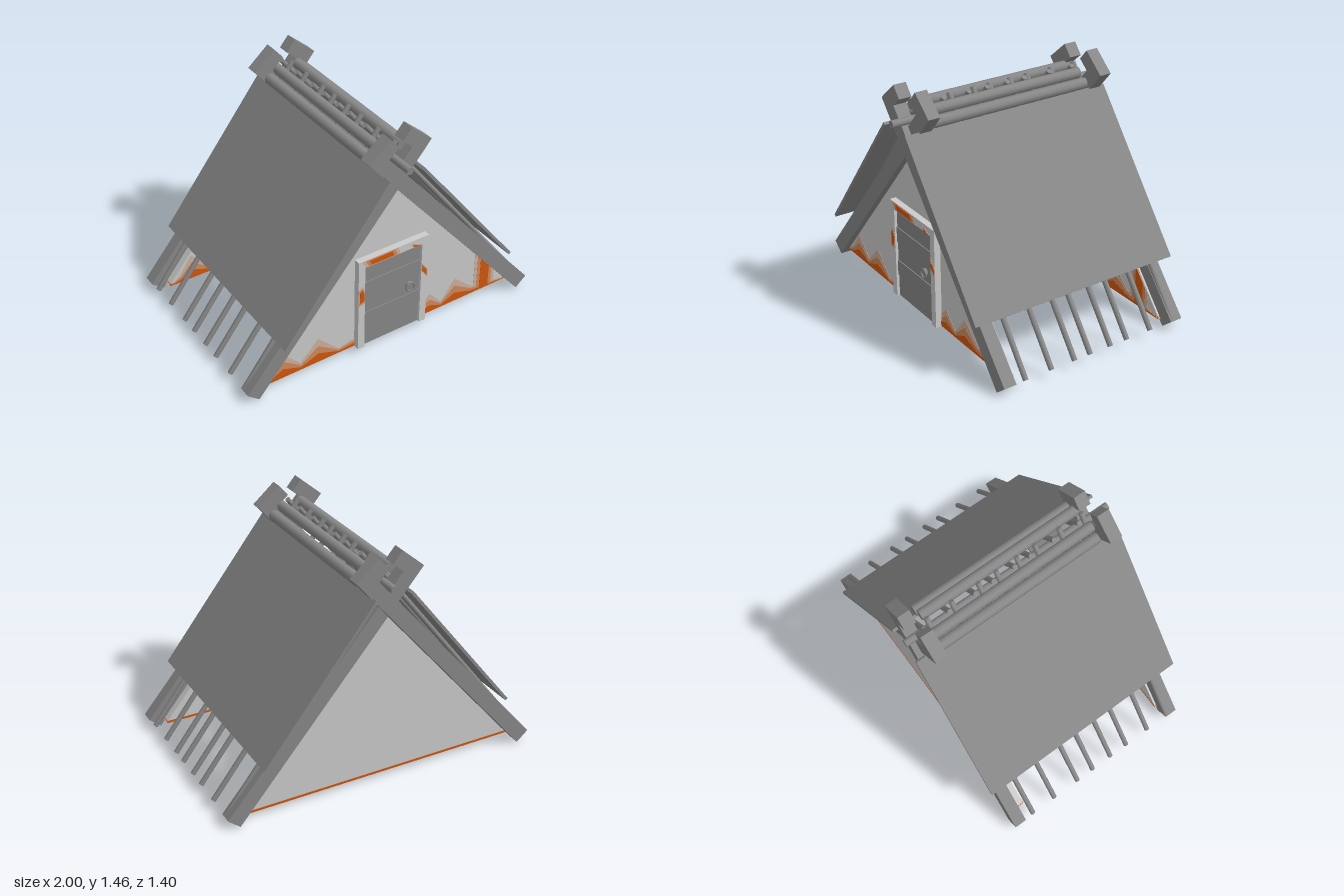
import * as THREE from 'three';

const timber = new THREE.MeshStandardMaterial({ color: 0x888888 });
const plaster = new THREE.MeshStandardMaterial({ color: 0xcccccc });
// rust tones, from faint to strong
const rust = [0xcfb09e, 0xd18a5c, 0xd2570f].map((color) => new THREE.MeshStandardMaterial({ color }));

export function createModel() {
  const model = new THREE.Group();

  const add = (name, geometry, material = timber, parent = model) => {
    const mesh = new THREE.Mesh(geometry, material);
    mesh.name = name;
    parent.add(mesh);
    return mesh;
  };
  const group = (name) => {
    const g = new THREE.Group();
    g.name = name;
    model.add(g);
    return g;
  };
  // box given by its limits
  const box = (name, x0, x1, y0, y1, z0, z1, material, parent) => {
    const m = add(name, new THREE.BoxGeometry(x1 - x0, y1 - y0, z1 - z0), material, parent);
    m.position.set((x0 + x1) / 2, (y0 + y1) / 2, (z0 + z1) / 2);
    return m;
  };
  // flat outline in x, y extruded from z0 to z1
  const slab = (name, points, z0, z1, material, parent) => {
    const shape = new THREE.Shape(points.map(([x, y]) => new THREE.Vector2(x, y)));
    const m = add(name, new THREE.ExtrudeGeometry(shape, { depth: z1 - z0, bevelEnabled: false }), material, parent);
    m.position.z = z0;
    return m;
  };
  // round pole between two points
  const pole = (name, a, b, r, parent) => {
    const from = new THREE.Vector3(...a), to = new THREE.Vector3(...b);
    const dir = to.clone().sub(from);
    const m = add(name, new THREE.CylinderGeometry(r, r, dir.length(), 10), timber, parent);
    m.position.copy(from).add(to).multiplyScalar(0.5);
    m.quaternion.setFromUnitVectors(new THREE.Vector3(0, 1, 0), dir.normalize());
    return m;
  };

  // crossed gable beams: [across, along] outline with a hooked head
  const profile = [[-0.048, -1.48], [0.048, -1.48], [0.048, 0.195], [0.135, 0.195], [0.135, 0.285], [-0.046, 0.285]];
  const beams = group('gableBeams');
  const beam = (name, side, z0, z1) => slab(name,
    profile.map(([n, t]) => [side * (0.76 * n - 0.65 * t), 1.16 + 0.65 * n + 0.76 * t]), z0, z1, timber, beams);
  beam('frontLeftBeam', 1, 0.55, 0.63);
  beam('frontRightBeam', -1, 0.515, 0.592);
  beam('backLeftBeam', 1, -0.635, -0.555);
  beam('backRightBeam', -1, -0.67, -0.592);

  // triangular end walls; rust creeps up their front faces and fades out
  const gable = [[-0.905, 0.045], [0.905, 0.045], [0, 1.12]];
  const rightStain = [[-0.25, 0.1], [-0.36, 0.075], [-0.5, 0.215], [-0.62, 0.09], [-0.74, 0.215], [-0.82, 0.1]];
  const leftStain = [[0.9, 0.05], [0.62, 0.1], [0.49, 0.215], [0.39, 0.08], [0.3, 0.18], [0.24, 0.13]];
  const wall = (name, z0, z1) => {
    slab(name + 'Wall', gable, z0, z1, plaster);
    box(name + 'Sill', -0.9, 0.9, 0.04, 0.055, z0 - 0.001, z1 + 0.001, rust[2]);
    const stains = group(name + 'WallStains');
    rust.forEach((tone, i) => {
      const front = z1 + 0.0015 * (i + 1), rise = 1 - 0.32 * i, w = 0.08 - 0.023 * i;
      const fade = ([x, y]) => [x, 0.045 + (y - 0.045) * rise];
      slab('rightStain', [[-0.89, 0.045], [-0.25, 0.045], ...rightStain.map(fade)], z1 - 0.001, front, tone, stains);
      slab('leftStain', [[0.24, 0.045], ...leftStain.map(fade)], z1 - 0.001, front, tone, stains);
      const edge = (x) => [x, 1.11 - 1.188 * x];
      slab('streak', [[0.72 - w, 0.045], [0.72 + w, 0.045], edge(0.72 + w), edge(0.72 - w)],
        z1 - 0.001, front + 0.0005, tone, stains);
    });
  };
  wall('front', 0.503, 0.548);
  wall('back', -0.59, -0.543);

  // door frame with worn patches
  const frame = group('doorFrame');
  box('rightJamb', -0.25, -0.205, 0.04, 0.68, 0.53, 0.588, plaster, frame);
  box('leftJamb', 0.195, 0.24, 0.04, 0.68, 0.53, 0.588, plaster, frame);
  box('lintel', -0.205, 0.195, 0.63, 0.68, 0.53, 0.588, plaster, frame);
  const patches = [
    [[-0.2, 0.63], [0.04, 0.63], [0.02, 0.68], [-0.23, 0.68]],
    [[0.13, 0.63], [0.195, 0.63], [0.15, 0.645], [0.115, 0.665]],
    [[-0.25, 0.36], [-0.205, 0.37], [-0.205, 0.45], [-0.22, 0.5], [-0.25, 0.48]],
    [[0.195, 0.43], [0.24, 0.37], [0.24, 0.43], [0.195, 0.49]],
  ];
  for (const patch of patches) {
    const cx = patch.reduce((s, p) => s + p[0], 0) / patch.length;
    const cy = patch.reduce((s, p) => s + p[1], 0) / patch.length;
    rust.forEach((tone, i) => {
      const k = 1 - 0.18 * i;
      slab('framePatch', patch.map(([x, y]) => [cx + (x - cx) * k, cy + (y - cy) * k]),
        0.587, 0.5895 + 0.0015 * i, tone, frame);
    });
  }

  // plank door and ring handle
  const door = group('door');
  const seams = [0.04, 0.185, 0.285, 0.41, 0.51, 0.628];
  for (let i = 0; i < 5; i++) {
    box('doorPlank', -0.208, 0.196, seams[i], seams[i + 1], 0.54, 0.57 + (i % 2) * 0.006, timber, door);
  }
  const plate = add('handlePlate', new THREE.CylinderGeometry(0.022, 0.025, 0.012, 12), timber, door);
  plate.rotation.x = Math.PI / 2;
  plate.position.set(0.118, 0.355, 0.58);
  add('handleRing', new THREE.TorusGeometry(0.028, 0.006, 6, 20), timber, door).position.set(0.118, 0.348, 0.59);

  // roof sheets, open along the ridge
  for (const s of [-1, 1]) {
    const sheet = add(s > 0 ? 'leftRoofSheet' : 'rightRoofSheet', new THREE.BoxGeometry(1.108, 0.018, 1.385));
    sheet.position.set(s * 0.453, 0.8, -0.01);
    sheet.rotation.z = s * Math.atan2(-0.875, 0.69);
  }

  // slender rafters crossing over the ridge
  const rafters = group('rafters');
  const rows = [
    [-1, [-0.53, -0.365, -0.185, -0.065, 0.075, 0.2, 0.368, 0.525]],
    [1, [-0.575, -0.405, -0.23, -0.11, 0.035, 0.145, 0.305, 0.48]],
  ];
  for (const [s, zs] of rows) {
    for (const z of zs) pole('rafter', [s * 0.986, 0.06, z], [s * -0.024, 1.365, z], 0.016, rafters);
  }

  // ridge pole and the logs resting in the hooks
  const ridge = group('ridge');
  pole('ridgePole', [0, 1.272, -0.695], [0, 1.272, 0.7], 0.023, ridge);
  for (const s of [-1, 1]) {
    pole('upperLog', [s * 0.067, 1.332, -0.545], [s * 0.067, 1.332, 0.535], 0.033, ridge);
    pole('lowerLog', [s * 0.124, 1.283, -0.55], [s * 0.124, 1.283, 0.535], 0.034, ridge);
  }
  return model;
}
